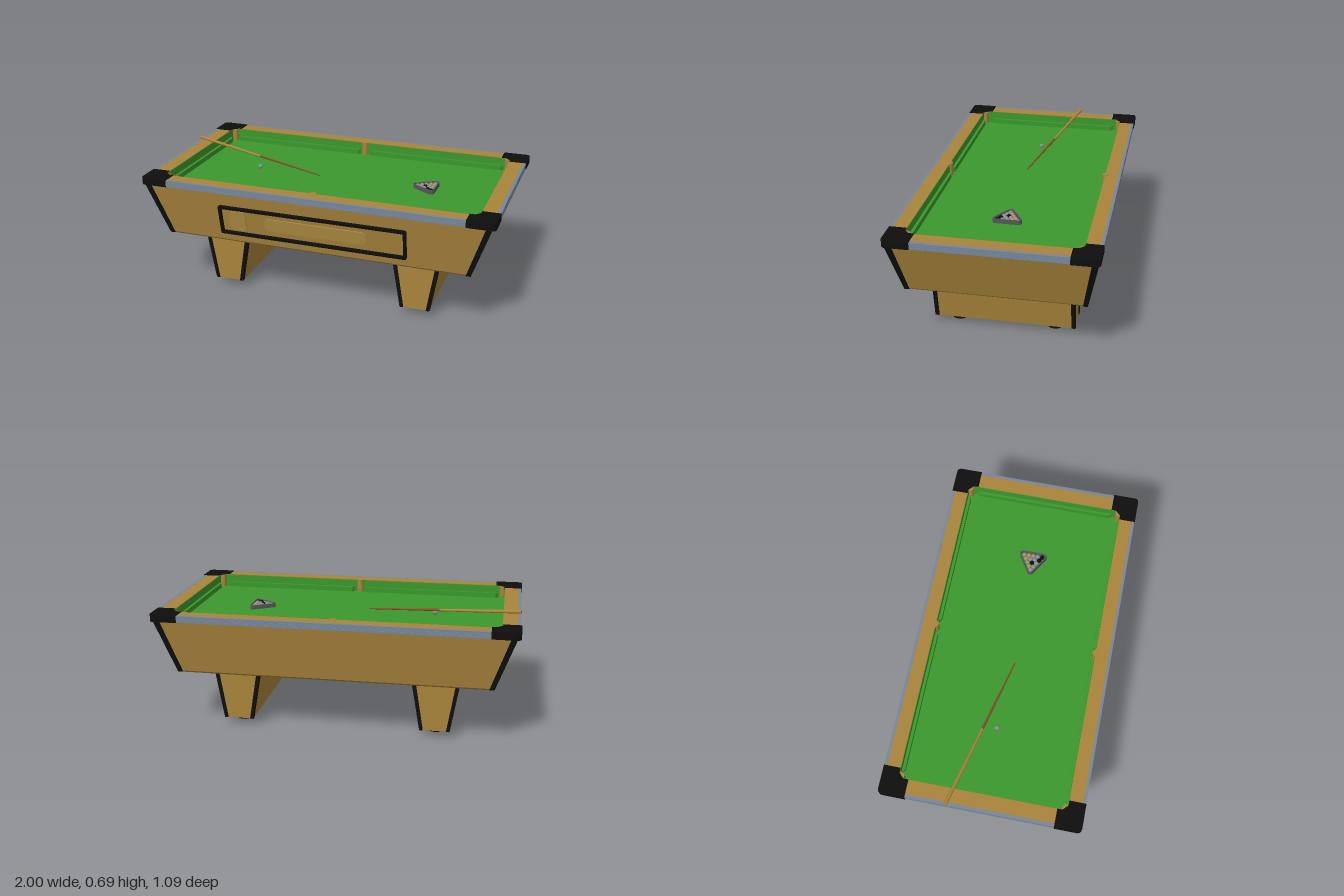
import * as THREE from 'three';

const mat = (name, color, side = THREE.FrontSide) => {
  const m = new THREE.MeshStandardMaterial({ color, side });
  m.name = name;
  return m;
};

export function createModel() {
  const root = new THREE.Group();
  root.name = 'poolTable';
  const wood = mat('wood', 0xa9843b, THREE.DoubleSide);
  const paleWood = mat('paleWood', 0xb08e45);
  const black = mat('blackTrim', 0x0e0e0e);
  const felt = mat('greenFelt', 0x3b982d);
  const steel = mat('greyTrim', 0x75869a);
  const ballGrey = mat('ballGrey', 0x8c8c90);
  const frameGrey = mat('rackGrey', 0x55565c);
  const shaftRed = mat('cueShaft', 0x8a4a2a);

  const add = (name, geo, m, parent = root, x = 0, y = 0, z = 0) => {
    const mesh = new THREE.Mesh(geo, m);
    mesh.name = name;
    mesh.position.set(x, y, z);
    parent.add(mesh);
    return mesh;
  };
  const box = (name, w, h, d, m, x, y, z, parent) =>
    add(name, new THREE.BoxGeometry(w, h, d), m, parent, x, y, z);

  // Tapered block between two rectangles [x0, x1, z0, z1] at heights y0 and y1
  const prism = (y0, y1, low, high, openTop = false) => {
    const g = new THREE.BoxGeometry(1, 1, 1);
    const p = g.attributes.position;
    for (let i = 0; i < p.count; i++) {
      const r = p.getY(i) > 0 ? high : low;
      p.setXYZ(i, r[p.getX(i) > 0 ? 1 : 0], p.getY(i) > 0 ? y1 : y0, r[p.getZ(i) > 0 ? 3 : 2]);
    }
    if (openTop) g.setIndex([...g.index.array].filter((_, i) => i < 12 || i >= 18));
    g.computeVertexNormals();
    return g;
  };
  const span = (s, a, b) => (s > 0 ? [a, b] : [-b, -a]);
  const corners = (fn) => { for (const sx of [-1, 1]) for (const sz of [-1, 1]) fn(sx, sz); };

  // Flat shape laid on the ground plane and raised to y0..y1
  const slab = (shape, y0, y1) =>
    new THREE.ExtrudeGeometry(shape, { depth: y1 - y0, bevelEnabled: false, curveSegments: 10 })
      .rotateX(-Math.PI / 2).translate(0, y0, 0);
  const rect = (hx, hy, Type = THREE.Shape) => new Type([
    [-hx, -hy], [hx, -hy], [hx, hy], [-hx, hy]].map(([x, y]) => new THREE.Vector2(x, y)));
  const ring = (hx, hy, ix, iy) => {
    const s = rect(hx, hy);
    s.holes.push(rect(ix, iy, THREE.Path));
    return s;
  };
  const roundRect = (w, h, r) => {
    const s = new THREE.Shape(), x = w / 2 - r, y = h / 2 - r, q = Math.PI / 2;
    s.absarc(x, y, r, 0, q);
    s.absarc(-x, y, r, q, 2 * q);
    s.absarc(-x, -y, r, 2 * q, 3 * q);
    s.absarc(x, -y, r, 3 * q, 4 * q);
    return s;
  };

  // Cabinet with sloping sides and corner strips
  add('cabinet', prism(0.335, 0.64, [-0.87, 0.87, -0.472, 0.472], [-0.975, 0.975, -0.53, 0.53], true), wood);
  add('cabinetBase', prism(0.325, 0.335, [-0.86, 0.86, -0.463, 0.463], [-0.87, 0.87, -0.472, 0.472], true), wood);
  corners((sx, sz) => add('cabinetCornerStrip', prism(0.33, 0.636,
    [...span(sx, 0.848, 0.875), ...span(sz, 0.453, 0.478)],
    [...span(sx, 0.95, 0.982), ...span(sz, 0.503, 0.538)]), black));

  // Playing surface, inner walls and low cushions
  box('playingSurface', 1.82, 0.02, 0.93, felt, 0, 0.586, 0);
  add('innerWall', slab(ring(0.915, 0.47, 0.898, 0.453), 0.59, 0.668), felt);
  for (const s of [-1, 1]) {
    const end = new THREE.Shape([[-0.41, 0], [0.41, 0], [0.39, 0.018], [-0.39, 0.018]]
      .map(([x, y]) => new THREE.Vector2(x, y)));
    const half = new THREE.Shape([[0.03, 0], [0.86, 0], [0.84, 0.018], [0.045, 0.018]]
      .map(([x, y]) => new THREE.Vector2(x, y)));
    add('endCushion', slab(end, 0.595, 0.625), felt, root, s * 0.9).rotation.y = s * Math.PI / 2;
    for (const t of [-1, 1]) {
      const g = slab(half, 0.595, 0.625);
      if (t < 0) g.translate(-0.89, 0, 0);
      add('sideCushion', g, felt, root, 0, 0, s * 0.455).rotation.y = s > 0 ? 0 : Math.PI;
    }
  }

  // Top rails with ribbed grey edging
  add('topRails', slab(ring(0.982, 0.532, 0.9, 0.455), 0.633, 0.67), wood);
  for (const s of [-1, 1]) {
    for (let i = 0; i < 3; i++) {
      const y = 0.6395 + i * 0.0125;
      box('sideEdging', 1.7, 0.0115, 0.015, steel, 0, y, s * 0.5365);
      box('endEdging', 0.018, 0.0115, 0.81, steel, s * 0.988, y, 0);
    }
  }

  // Corner caps and pockets
  corners((sx, sz) => {
    const s = new THREE.Shape();
    const v = (x, z) => [sx * x, -sz * z];
    s.moveTo(...v(0.9, 0.4));
    s.lineTo(...v(1, 0.4));
    s.lineTo(...v(1, 0.52));
    s.quadraticCurveTo(...v(1, 0.546), ...v(0.974, 0.546));
    s.lineTo(...v(0.846, 0.546));
    s.lineTo(...v(0.846, 0.455));
    s.lineTo(...v(0.872, 0.455));
    s.lineTo(...v(0.9, 0.428));
    s.closePath();
    add('cornerCap', slab(s, 0.632, 0.673), black);
    add('cornerPocket', new THREE.CylinderGeometry(0.018, 0.018, 0.072, 20), wood, root, sx * 0.885, 0.632, sz * 0.444);
  });
  for (const s of [-1, 1])
    add('sidePocket', new THREE.CylinderGeometry(0.02, 0.02, 0.078, 24), wood, root, -0.004, 0.633, s * 0.458);

  // Pedestal legs with corner strips and levelling feet
  const foot = new THREE.LatheGeometry([[0, 0], [0.044, 0], [0.044, 0.007], [0.025, 0.016], [0.014, 0.024], [0.012, 0.045]]
    .map(([x, y]) => new THREE.Vector2(x, y)), 24);
  for (const side of [-1, 1]) {
    const leg = new THREE.Group();
    leg.name = 'leg';
    leg.position.x = side * 0.558;
    root.add(leg);
    add('legBody', prism(0.037, 0.335, [-0.08, 0.08, -0.385, 0.385], [-0.131, 0.131, -0.385, 0.385]), wood, leg);
    corners((sx, sz) => {
      const z = span(sz, 0.367, 0.39);
      add('legCornerStrip', prism(0.037, 0.334, [...span(sx, 0.064, 0.084), ...z], [...span(sx, 0.113, 0.135), ...z]), black, leg);
    });
    for (const z of [-0.268, 0.268]) add('foot', foot, black, leg, 0, 0, z);
  }

  // Front ball-return panel on the sloping face
  const front = new THREE.Group();
  front.name = 'frontPanel';
  front.position.set(-0.004, 0.47, 0.4985);
  front.rotation.x = Math.atan(0.058 / 0.305);
  root.add(front);
  const frame = roundRect(1.074, 0.178, 0.01);
  frame.holes.push(rect(0.521, 0.073, THREE.Path));
  add('panelFrame', new THREE.ExtrudeGeometry(frame, { depth: 0.016, bevelEnabled: false }), black, front);
  const plate = (name, w, h, r, parent, x, y) => add(name,
    new THREE.ExtrudeGeometry(roundRect(w, h, r), { depth: 0.005, bevelEnabled: false }), paleWood, parent, x, y, 0);
  plate('returnWindow', 0.095, 0.124, 0.028, front, -0.43, 0);
  plate('ballTray', 0.585, 0.078, 0.03, front, 0.022, 0);

  // Coin hatch on the end
  const hatch = new THREE.Group();
  hatch.name = 'endHatch';
  hatch.position.set(-0.9225, 0.4875, 0);
  hatch.rotation.order = 'YXZ';
  hatch.rotation.set(Math.atan(0.105 / 0.305), -Math.PI / 2, 0);
  root.add(hatch);
  plate('hatchUpper', 0.27, 0.04, 0.008, hatch, 0, 0.105);
  plate('hatchLower', 0.31, 0.17, 0.008, hatch, 0, -0.02);

  // Rack: rounded triangle holding fifteen balls
  const triangle = (r, Type) => {
    const s = new Type(), t = Math.PI * 2 / 3;
    s.absarc(0.548, 0.062, r, 0, t);
    s.absarc(0.447, 0, r, t, 2 * t);
    s.absarc(0.548, -0.062, r, 2 * t, 3 * t);
    s.closePath();
    return s;
  };
  const rack = triangle(0.017, THREE.Shape);
  rack.holes.push(triangle(0.01, THREE.Path));
  add('rack', slab(rack, 0.596, 0.62), frameGrey);
  const ball = new THREE.SphereGeometry(0.013, 18, 12);
  const ballMats = [ballGrey, paleWood, ballGrey, ballGrey, black];
  let n = 0;
  for (let row = 0; row < 5; row++)
    for (let i = 0; i <= row; i++)
      add('rackedBall', ball, ballMats[n++ % 5], root, 0.455 + row * 0.0225, 0.609, (i - row / 2) * 0.026);
  add('cueBall', ball, ballGrey, root, -0.513, 0.609, 0);

  // Cue resting across the end rail
  const butt = new THREE.Vector3(-0.995, 0.685, -0.18);
  const tip = new THREE.Vector3(-0.13, 0.607, 0.022);
  const mid = butt.clone().lerp(tip, 0.52);
  const rod = (name, a, b, ra, rb, m) => {
    const mesh = add(name, new THREE.CylinderGeometry(rb, ra, a.distanceTo(b), 16), m);
    mesh.position.copy(a).add(b).multiplyScalar(0.5);
    mesh.quaternion.setFromUnitVectors(new THREE.Vector3(0, 1, 0), b.clone().sub(a).normalize());
  };
  rod('cueButt', butt, mid, 0.01, 0.007, wood);
  rod('cueShaft', mid, tip, 0.007, 0.0035, shaftRed);

  return root;
}
